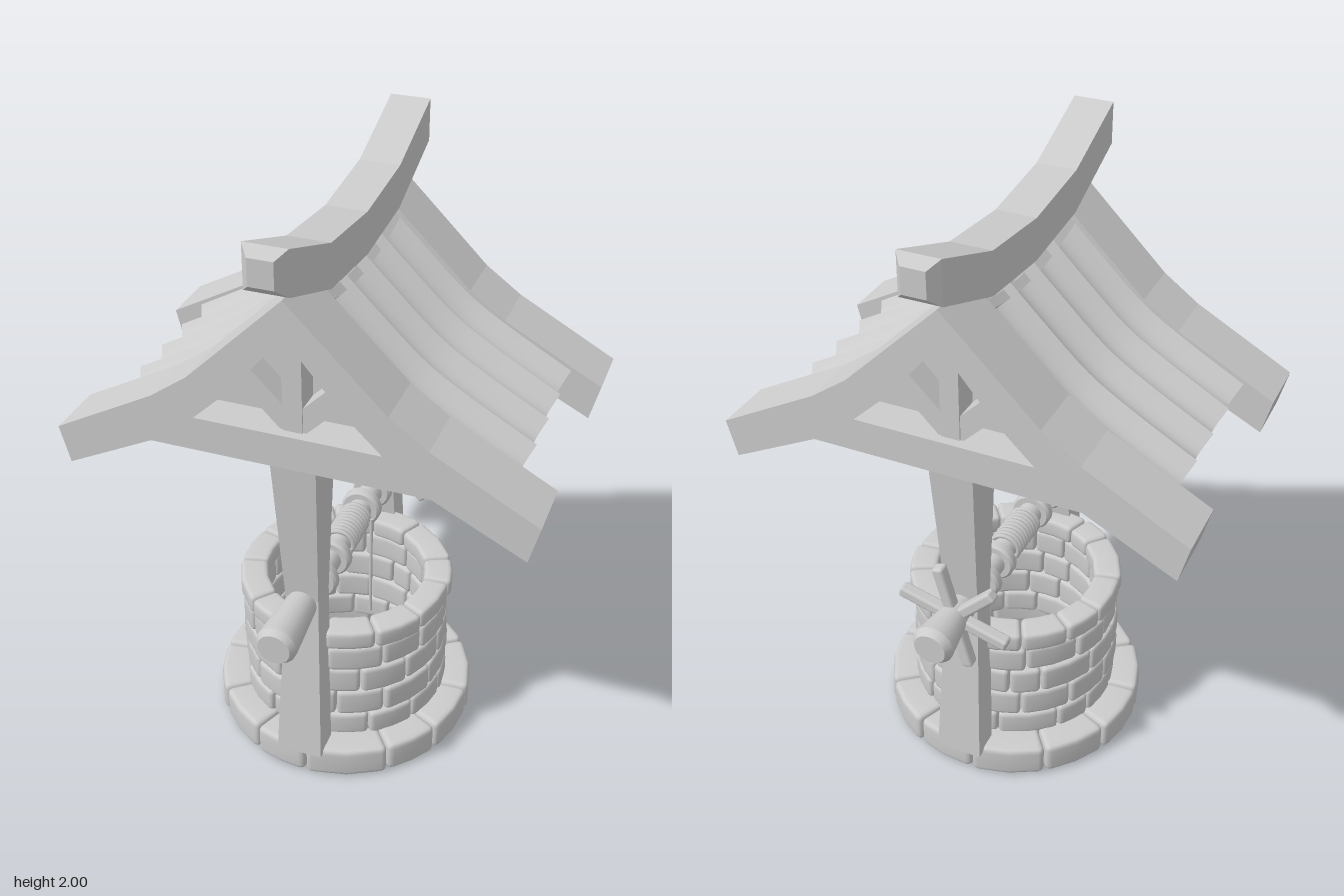
import * as THREE from 'three';
import { mergeVertices, toCreasedNormals } from 'three/addons/utils/BufferGeometryUtils.js';
import { RoundedBoxGeometry } from 'three/addons/geometries/RoundedBoxGeometry.js';

const material = new THREE.MeshStandardMaterial({ color: 0xcccccc });

let seed = 7;
const random = () => (seed = (seed * 16807) % 2147483647) / 2147483647;

function add(parent, name, geometry, x = 0, y = 0, z = 0) {
  const mesh = new THREE.Mesh(geometry, material);
  mesh.name = name;
  mesh.position.set(x, y, z);
  parent.add(mesh);
  return mesh;
}

// Flat-shaded solid through four-cornered rings (counter-clockwise seen from the last ring)
function loft(rings) {
  const index = [];
  for (let i = 0; i < rings.length - 1; i++) {
    for (let j = 0; j < 4; j++) {
      const a = i * 4 + j, b = i * 4 + (j + 1) % 4;
      index.push(a, b, b + 4, a, b + 4, a + 4);
    }
  }
  const e = (rings.length - 1) * 4;
  index.push(0, 2, 1, 0, 3, 2, e, e + 1, e + 2, e, e + 2, e + 3);
  const g = new THREE.BufferGeometry();
  g.setAttribute('position', new THREE.Float32BufferAttribute(rings.flat(2), 3));
  g.setIndex(index);
  const flat = g.toNonIndexed();
  flat.computeVertexNormals();
  return flat;
}

function extrude(points, depth) {
  const shape = new THREE.Shape(points.map(([x, y]) => new THREE.Vector2(x, y)));
  return new THREE.ExtrudeGeometry(shape, { depth, bevelEnabled: false });
}

// Move every vertex of a geometry by a rule
function warp(g, rule) {
  const p = g.attributes.position, v = new THREE.Vector3();
  for (let i = 0; i < p.count; i++) {
    rule(v.fromBufferAttribute(p, i));
    p.setXYZ(i, v.x, v.y, v.z);
  }
  return g;
}

// Rounded block bent around the y axis
function arcStone(inner, outer, y0, y1, a0, a1, round) {
  const mid = (inner + outer) / 2;
  const half = new THREE.Vector3((a1 - a0) * mid / 2, (y1 - y0) / 2, (outer - inner) / 2);
  let g = new THREE.BoxGeometry(2, 2, 2, 6, 6, 6);
  g.deleteAttribute('uv');
  g.deleteAttribute('normal');
  g = mergeVertices(g);
  const core = half.clone().subScalar(round);
  warp(g, v => {
    for (const k of ['x', 'y', 'z']) {
      const steps = Math.round(Math.abs(v[k]) * 3);
      v[k] = Math.sign(v[k]) * [0, half[k] - round, half[k] - round * 0.58 + round * 0.16, half[k]][steps];
    }
    const c = v.clone().clamp(core.clone().negate(), core);
    v.sub(c);
    if (v.lengthSq() > 1e-10) v.setLength(round);
    v.add(c);
    const a = (a0 + a1) / 2 + v.x / mid, r = mid + v.z;
    v.set(Math.sin(a) * r, v.y + (y0 + y1) / 2, Math.cos(a) * r);
  });
  g.computeVertexNormals();
  return g;
}

function stoneRing(parent, name, count, inner, outer, y0, y1, turn, vary, round) {
  const step = Math.PI * 2 / count;
  const cuts = Array.from({ length: count }, (_, i) => turn + (i + (random() - 0.5) * vary) * step);
  cuts.push(cuts[0] + Math.PI * 2);
  for (let i = 0; i < count; i++) {
    const out = outer + (random() - 0.5) * 0.008;
    add(parent, name, arcStone(inner, out, y0, y1, cuts[i] + 0.003, cuts[i + 1] - 0.003, round));
  }
}

// Slope of the roof from ridge to eave, with an offset along its normal
const slope = new THREE.CatmullRomCurve3([[0, 1.78], [0.15, 1.63], [0.3, 1.49], [0.42, 1.41], [0.64, 1.285]]
  .map(([x, y]) => new THREE.Vector3(x, y, 0)));
function onSlope(v, u, offset) {
  const p = slope.getPoint(u), t = slope.getTangent(u);
  v.x = p.x - t.y * offset;
  v.y = p.y + t.x * offset;
}

function makeWell() {
  const well = new THREE.Group();
  well.name = 'well';
  stoneRing(well, 'baseStone', 12, 0.325, 0.44, 0.003, 0.115, 0.1, 0.25, 0.02);
  const heights = [0.105, 0.195, 0.295, 0.395, 0.49];
  for (let i = 0; i < 4; i++) {
    stoneRing(well, 'wallStone', 13, 0.275, 0.35, heights[i], heights[i + 1], (i % 2) * 0.24 + 0.05, 0.5, 0.017);
  }
  stoneRing(well, 'rimStone', 13, 0.265, 0.358, 0.49, 0.56, 0.2, 0.4, 0.017);
  return well;
}

function makeGable() {
  const gable = new THREE.Group();
  gable.name = 'gable';
  // Curved rafters
  const top = [[0.74, 1.245], [0.418, 1.42], [0.3, 1.505]];
  const under = [[0.71, 1.125], [0.36, 1.3], [0.28, 1.38], [0.17, 1.485]];
  const flip = list => list.map(([x, y]) => [-x, y]);
  const outline = [[0, 1.8], ...flip(top).reverse(), ...flip(under), [0, 1.69], ...[...under].reverse(), ...top];
  add(gable, 'rafters', extrude(outline, 0.193), 0, 0, 0.298);
  // Panel, tie beam and struts inside the gable
  add(gable, 'gablePanel', extrude([[-0.34, 1.33], [0.34, 1.33], [0, 1.72]], 0.05), 0, 0, 0.305);
  add(gable, 'tieBeam', new THREE.BoxGeometry(0.88, 0.11, 0.16), 0, 1.305, 0.39);
  add(gable, 'kingPost', new THREE.BoxGeometry(0.06, 0.36, 0.1), 0, 1.53, 0.39);
  for (const s of [-1, 1]) {
    add(gable, 'strut', new THREE.BoxGeometry(0.24, 0.064, 0.09), s * 0.08, 1.445, 0.39).rotation.z = s * Math.PI / 4;
  }
  // Waisted post: height, half width, inner z, outer z
  const levels = [[0.1, 0.077, 0.36, 0.455], [0.72, 0.055, 0.312, 0.402], [1.27, 0.072, 0.295, 0.45]];
  add(gable, 'post', loft(levels.map(([y, w, a, b]) => [[-w, y, b], [w, y, b], [w, y, a], [-w, y, a]])));
  return gable;
}

function makeRoofSide() {
  const side = new THREE.Group();
  side.name = 'roofSide';
  // Four hollow tile strips meeting in sharp crests
  for (let i = 0; i < 4; i++) {
    const g = warp(new THREE.BoxGeometry(1, 0.02, 0.149, 16, 1, 10), v => {
      const dip = 0.045 * Math.cos(v.z / 0.149 * Math.PI);
      onSlope(v, v.x + 0.5, v.y - 0.01 - dip);
      v.z += (i - 1.5) * 0.149;
    });
    g.computeVertexNormals();
    add(side, 'tileStrip', g);
  }
  // Sagging board under the tiles
  const board = warp(new THREE.BoxGeometry(1, 0.03, 0.6, 12, 1, 8), v => {
    const sag = 0.04 * (1 - (v.z / 0.3) ** 2);
    onSlope(v, (v.x + 0.5) * 0.95, v.y - 0.075);
    v.y -= sag;
  });
  board.computeVertexNormals();
  add(side, 'roofBoard', board);
  return side;
}

function makeWindlass() {
  const windlass = new THREE.Group();
  windlass.name = 'windlass';
  windlass.position.y = 0.7;
  const lathe = points => toCreasedNormals(new THREE.LatheGeometry(
    points.map(([r, z]) => new THREE.Vector2(r, z)), 20).rotateX(Math.PI / 2), 0.6);
  add(windlass, 'shaft', lathe([[0, -0.625], [0.052, -0.625], [0.068, -0.6], [0.05, -0.48], [0.046, -0.38],
    [0.04, -0.3], [0.04, 0.3], [0.048, 0.38], [0.066, 0.59], [0.066, 0.605], [0.052, 0.625], [0, 0.625]]));
  for (const z of [-0.265, -0.155, 0.137, 0.257]) {
    add(windlass, 'collar', lathe([[0.03, -0.02], [0.06, -0.02], [0.068, -0.012], [0.068, 0.012], [0.06, 0.02], [0.03, 0.02]]), 0, 0, z);
  }
  // Six turning spokes at the back
  for (let i = 0; i < 6; i++) {
    const a = (15 + i * 60) * Math.PI / 180;
    const spoke = new RoundedBoxGeometry(0.165, 0.038, 0.042, 2, 0.01).translate(0.107, 0, 0);
    add(windlass, 'spoke', spoke, 0, 0, -0.457).rotation.z = a;
  }
  // Wound rope with its hanging end
  const points = [], turns = 10;
  for (let i = 0; i <= turns * 12; i++) {
    const a = -i / 12 * Math.PI * 2;
    points.push(new THREE.Vector3(Math.cos(a) * 0.048, Math.sin(a) * 0.048, 0.08 - 0.175 * i / (turns * 12)));
  }
  add(windlass, 'ropeCoil', new THREE.TubeGeometry(new THREE.CatmullRomCurve3(points), 240, 0.008, 6));
  add(windlass, 'ropeEnd', new THREE.CylinderGeometry(0.006, 0.006, 0.4, 8), 0.055, -0.2, -0.095);
  return windlass;
}

export function createModel() {
  const model = new THREE.Group();
  model.name = 'roofedWell';
  model.add(makeWell(), makeWindlass());
  const frame = new THREE.Group();
  frame.name = 'roofFrame';
  frame.position.z = -0.005;
  for (const turn of [0, Math.PI]) {
    for (const part of [makeGable(), makeRoofSide()]) {
      part.rotation.y = turn;
      frame.add(part);
    }
  }
  model.add(frame);
  // Upswept ridge beam with bevelled ends: z, top, bottom, half width
  const half = [[0.615, 1.975, 1.895, 0.037], [0.58, 2, 1.865, 0.065], [0.29, 1.89, 1.752, 0.065]];
  const sections = [...half.map(([z, ...r]) => [-z, ...r]), [0, 1.86, 1.725, 0.065], ...[...half].reverse()];
  add(model, 'ridgeBeam', loft(sections.map(([z, t, b, w]) => [[-w, b, z], [w, b, z], [w, t, z], [-w, t, z]])));
  return model;
}
